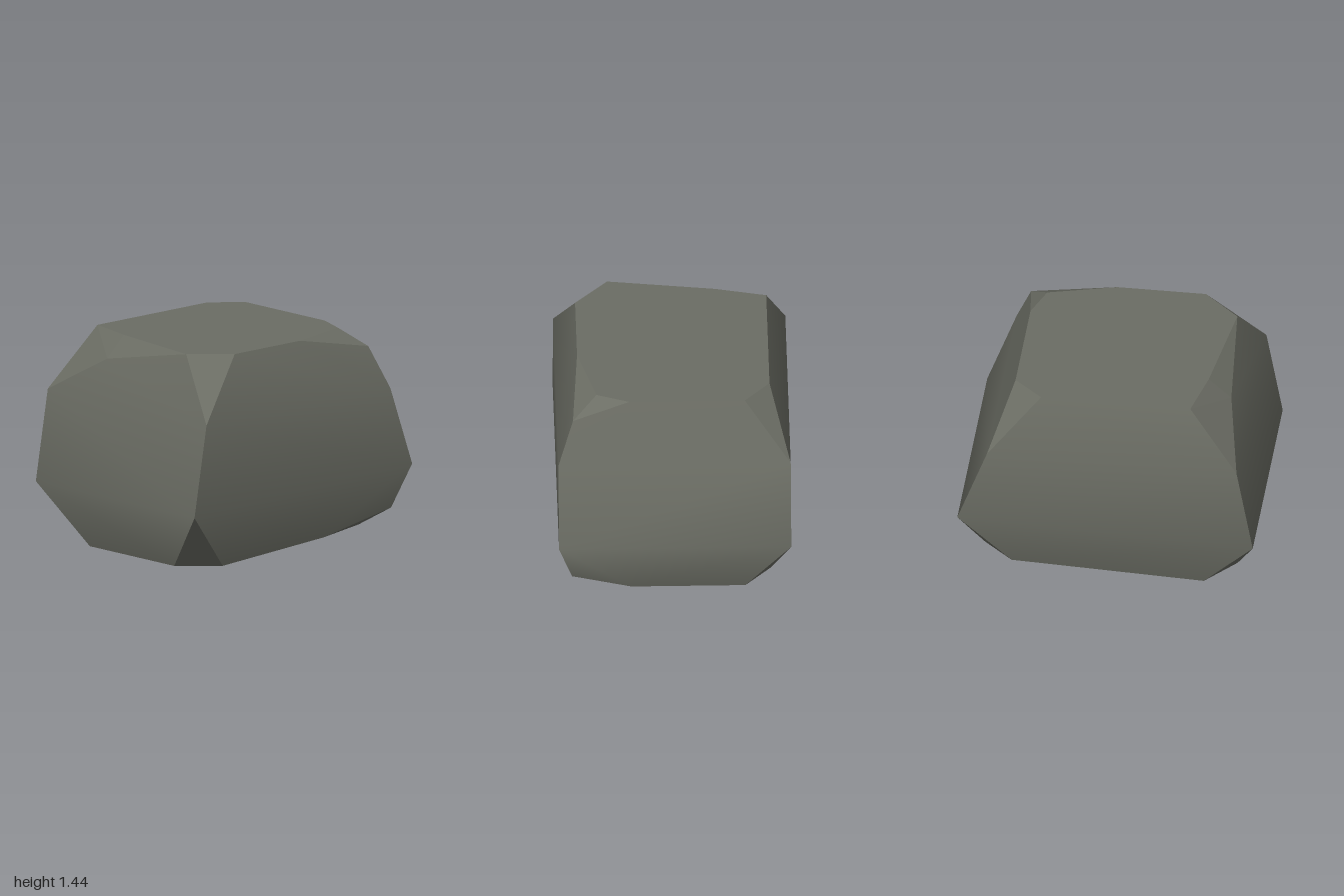
import * as THREE from 'three';
import { ConvexGeometry } from 'three/addons/geometries/ConvexGeometry.js';

// Smooth normals inside each of the six broad sides, flat chipped corners.
function shadeBySide(geometry) {
  const pos = geometry.attributes.position;
  const normals = new Float32Array(pos.count * 3);
  const sums = new Map();
  const keys = [];
  const p = [0, 1, 2].map(() => new THREE.Vector3());
  for (let i = 0; i < pos.count; i += 3) {
    p.forEach((v, k) => v.fromBufferAttribute(pos, i + k));
    const areaNormal = p[1].clone().sub(p[0]).cross(p[2].clone().sub(p[0]));
    const unit = areaNormal.clone().normalize().toArray();
    const axis = unit.findIndex((c) => Math.abs(c) > 0.87);
    const side = axis < 0 ? 'chip' + i : 'side' + axis + Math.sign(unit[axis]);
    p.forEach((v, k) => {
      const key = side + v.toArray().map((c) => c.toFixed(3)).join();
      keys[i + k] = key;
      if (!sums.has(key)) sums.set(key, new THREE.Vector3());
      sums.get(key).add(areaNormal);
    });
  }
  keys.forEach((key, i) => sums.get(key).clone().normalize().toArray(normals, i * 3));
  geometry.setAttribute('normal', new THREE.BufferAttribute(normals, 3));
  return geometry;
}

export function createModel() {
  const stone = new THREE.MeshStandardMaterial({ color: 0x6b6d64 });
  stone.name = 'stone grey';

  const points = [];
  const add = (x, y, z) => points.push(new THREE.Vector3(x, y, z));

  // Waist and shoulder, the same at front and back
  for (const z of [-0.78, 0.78]) {
    add(1, 0.48, z);
    add(-1, 0.41, z);
    add(-0.89, 1.03, z);
    add(0.8, 1.03, z);
  }

  // Rim of the flat top, with chipped corners
  const rim = [
    [-0.56, -0.645], [0.45, -0.645], [0.645, -0.475], [0.645, 0.3], [0.56, 0.52],
    [0.1, 0.64], [-0.5, 0.64], [-0.74, 0.42], [-0.64, -0.3],
  ];
  rim.forEach(([x, z]) => add(x, 1.44, z));
  add(0.69, 1.32, 0.68);
  add(-0.793, 1.3, -0.3);

  // Rim of the slightly tilted underside
  const base = [
    [-0.85, 0, -0.41], [-0.65, 0, -0.64], [0.65, 0.055, -0.645], [0.85, 0.06, -0.475],
    [0.85, 0.06, 0.29], [0.75, 0.057, 0.52], [0.3, 0.06, 0.66], [-0.61, 0, 0.64], [-0.85, 0, 0.42],
  ];
  base.forEach((b) => add(...b));
  add(0.89, 0.18, 0.69);

  const boulder = new THREE.Mesh(shadeBySide(new ConvexGeometry(points)), stone);
  boulder.name = 'boulder';

  const group = new THREE.Group();
  group.name = 'rock';
  group.add(boulder);
  return group;
}
